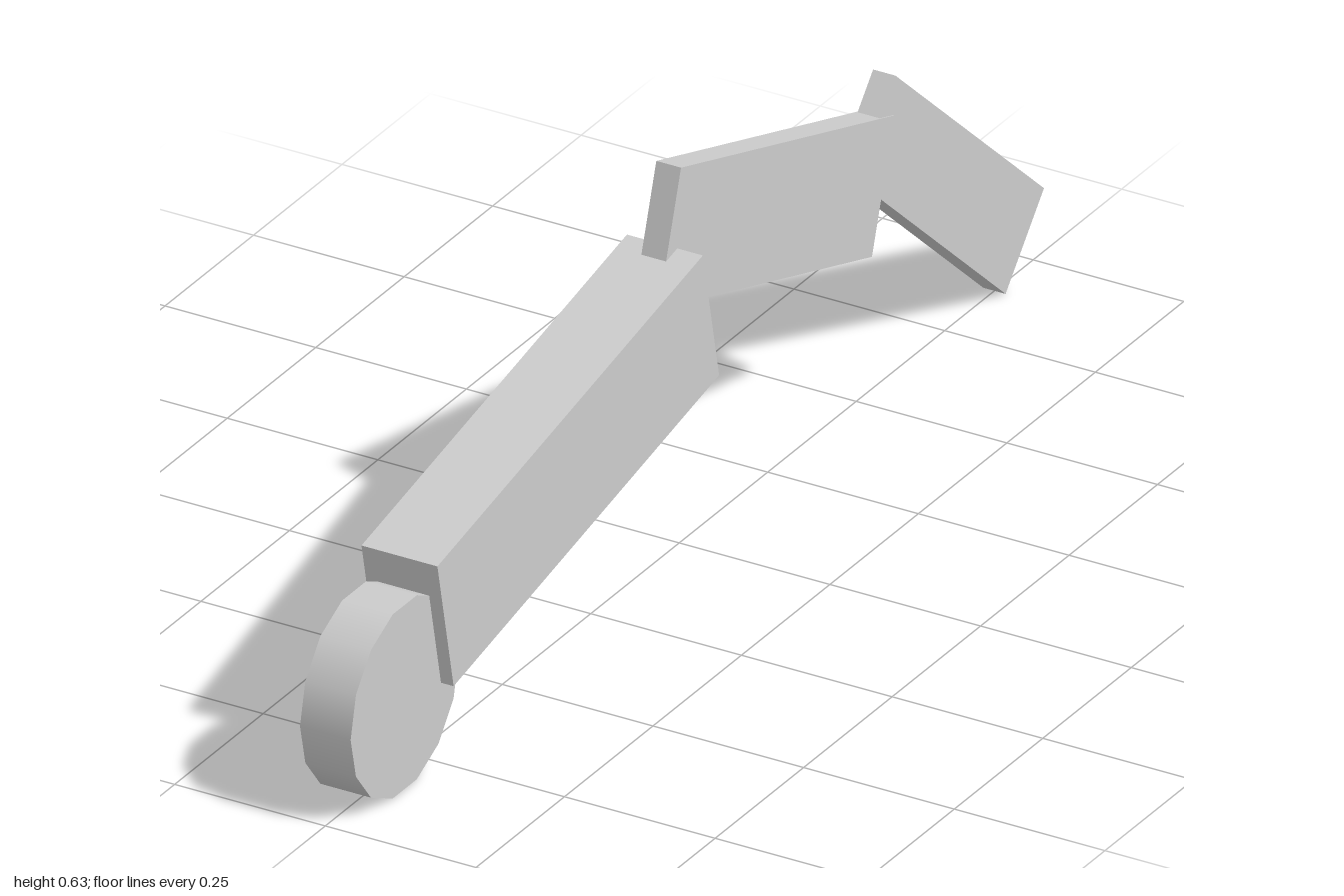
import * as THREE from 'three';

export function createModel() {
  const model = new THREE.Group();
  const grey = new THREE.MeshStandardMaterial({ color: 0xcccccc });
  grey.name = 'lightGrey';

  function add(name, geometry, y, z, tilt = 0) {
    const mesh = new THREE.Mesh(geometry, grey);
    mesh.name = name;
    mesh.position.set(0, y, z);
    mesh.rotation.x = tilt;
    model.add(mesh);
  }

  // Round front disc, lying on its side across x
  const disc = new THREE.CylinderGeometry(0.153, 0.153, 0.084, 14).rotateZ(Math.PI / 2);
  add('frontDisc', disc, 0.154, 0.847);

  // Chain of tilted blocks from front to back
  add('mainBody', new THREE.BoxGeometry(0.126, 0.22, 0.767), 0.3175, 0.3925, 0.21);
  add('middleSegment', new THREE.BoxGeometry(0.041, 0.21, 0.633), 0.435, -0.24, -0.308);
  add('tailSegment', new THREE.BoxGeometry(0.037, 0.163, 0.563), 0.252, -0.735, -0.729);

  return model;
}
